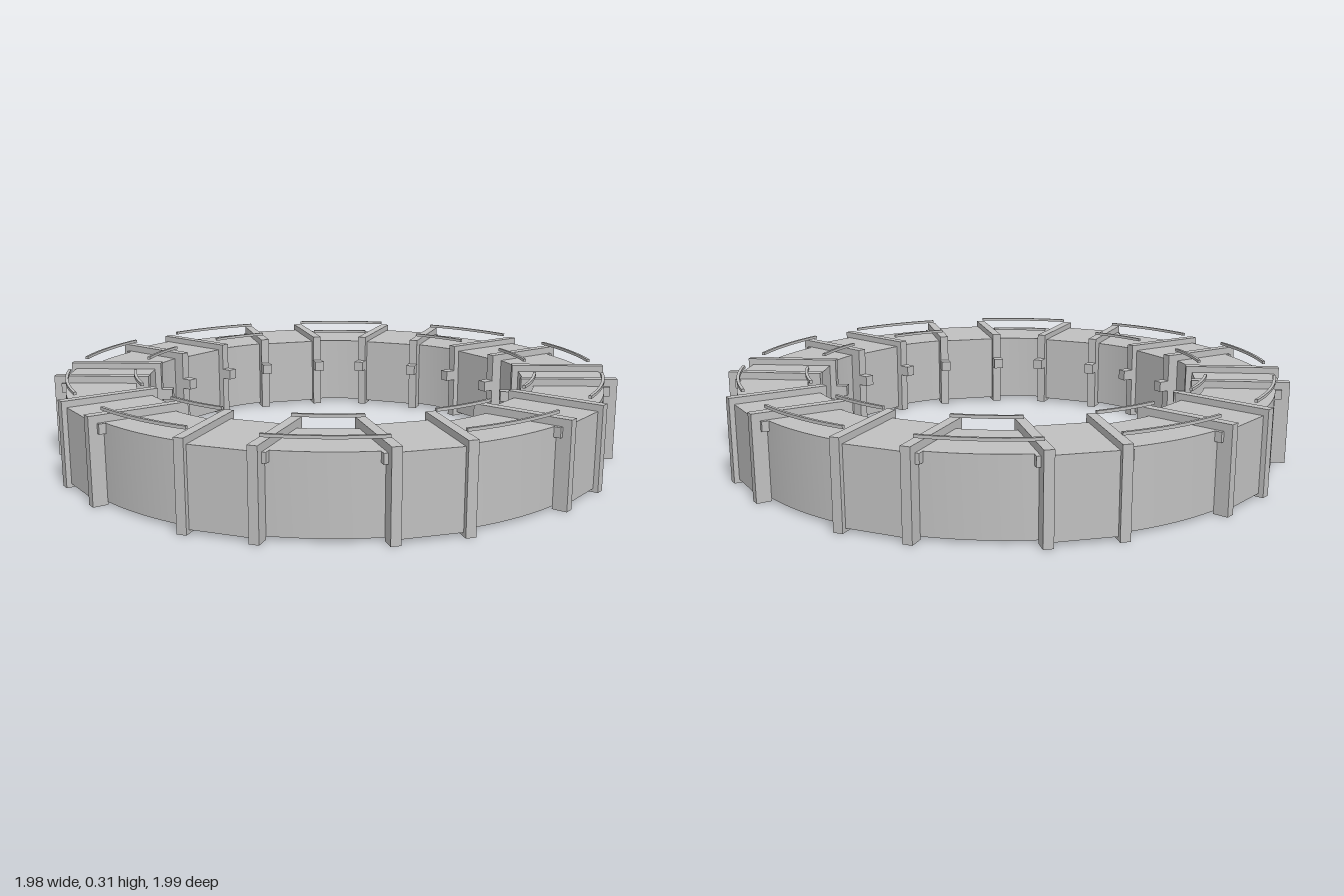
import * as THREE from 'three';
import { toCreasedNormals } from 'three/addons/utils/BufferGeometryUtils.js';

const COUNT = 10;                 // repeated bays around the ring
const STEP = (Math.PI * 2) / COUNT;
const START = THREE.MathUtils.degToRad(3.75);
const HALF = 0.113;               // half spacing of a pair of frames

// Flat band between two radii, swept from angle a0 to a1, from y0 to y1
function band(r0, r1, a0, a1, y0, y1, segments) {
  const shape = new THREE.Shape();
  if (a1 - a0 > 6.28) {
    shape.absarc(0, 0, r1, 0, Math.PI * 2, false);
    const hole = new THREE.Path();
    hole.absarc(0, 0, r0, 0, Math.PI * 2, true);
    shape.holes.push(hole);
  } else {
    shape.absarc(0, 0, r1, a0, a1, false);
    shape.absarc(0, 0, r0, a1, a0, true);
    shape.closePath();
  }
  const geo = new THREE.ExtrudeGeometry(shape, { depth: y1 - y0, bevelEnabled: false, curveSegments: segments });
  geo.rotateX(-Math.PI / 2);
  geo.translate(0, y0, 0);
  return toCreasedNormals(geo, 0.5);
}

export function createModel() {
  const model = new THREE.Group();
  const grey = new THREE.MeshStandardMaterial({ color: 0xc0c0c0 });
  grey.name = 'light grey';

  const add = (parent, name, geo) => {
    const mesh = new THREE.Mesh(geo, grey);
    mesh.name = name;
    parent.add(mesh);
    return mesh;
  };
  // Box given by its centre x, width, radial range and height range
  const block = (parent, name, x, w, r0, r1, y0, y1) => {
    const geo = new THREE.BoxGeometry(w, y1 - y0, r1 - r0);
    geo.translate(x, (y0 + y1) / 2, -(r0 + r1) / 2);
    return add(parent, name, geo);
  };

  // Main ring
  add(model, 'ring', band(0.71, 0.95, 0, Math.PI * 2, 0.01, 0.265, 96));

  // Rails above both edges of each open section
  const railGeos = [0.712, 0.944].map((r) => {
    const inset = Math.asin(HALF / r);
    return band(r - 0.005, r + 0.005, Math.PI / 2 + inset, Math.PI / 2 + STEP - inset, 0.301, 0.311, 16);
  });

  for (let i = 0; i < COUNT; i++) {
    const bay = new THREE.Group();
    bay.name = 'bay';
    bay.rotation.y = -(START + i * STEP);
    model.add(bay);

    // Straight housing between the two frames
    block(bay, 'housing', 0, HALF * 2, 0.677, 0.973, 0.012, 0.268);

    for (const side of [-1, 1]) {
      const x = side * HALF;
      // Frame: outer post, inner post and top bar
      block(bay, 'outerPost', x, 0.032, 0.94, 0.99, 0, 0.29);
      block(bay, 'innerPost', x, 0.032, 0.655, 0.715, 0, 0.29);
      block(bay, 'topBar', x, 0.032, 0.715, 0.94, 0.26, 0.29);
      // Peg on the inner post
      block(bay, 'peg', x, 0.036, 0.615, 0.655, 0.152, 0.19);
      // Corner bracket where the frame meets the curved wall
      block(bay, 'bracket', x + side * 0.022, 0.014, 0.925, 0.962, 0.232, 0.265);
    }

    add(bay, 'innerRail', railGeos[0]);
    add(bay, 'outerRail', railGeos[1]);
  }
  return model;
}
